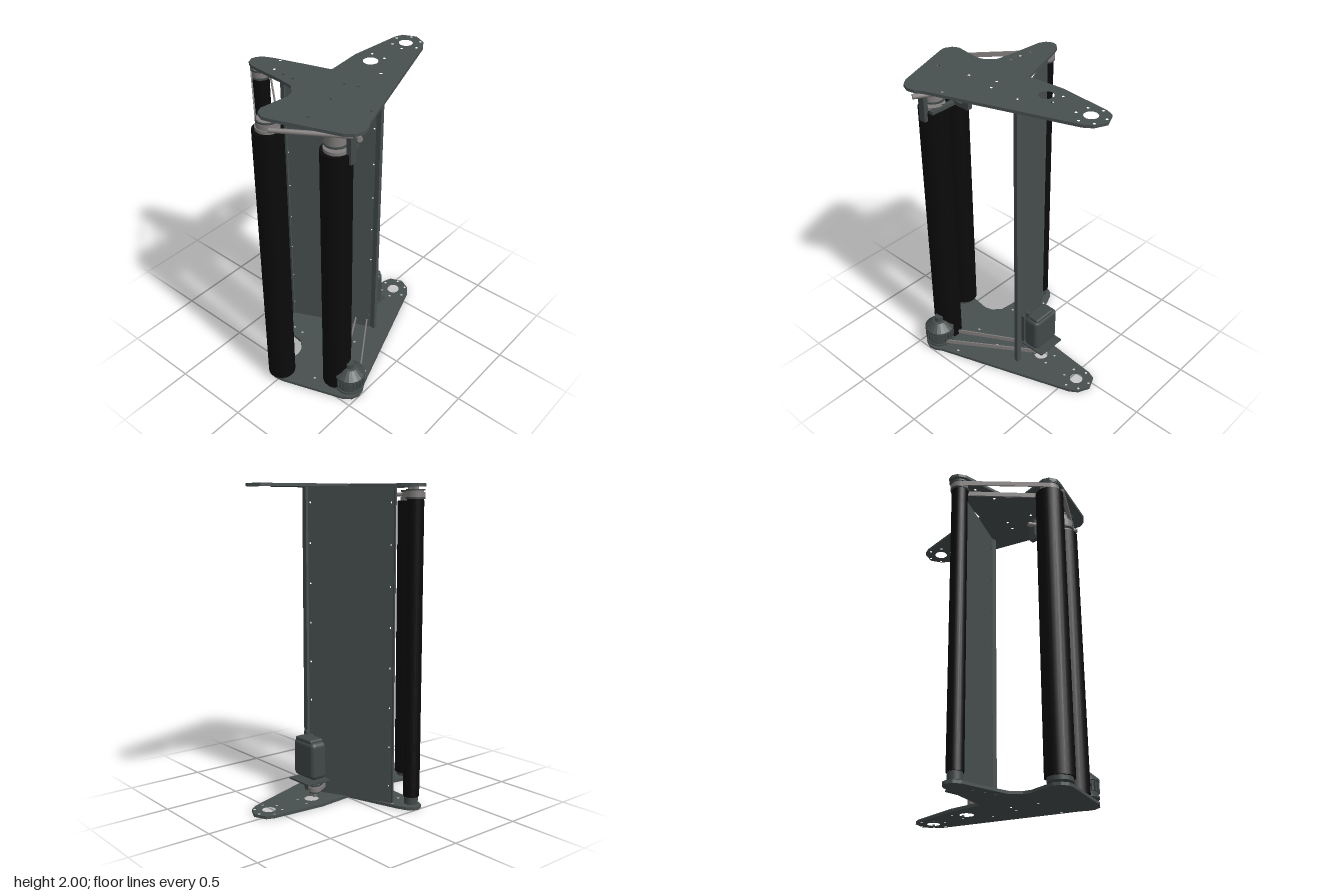
import * as THREE from 'three';
import { RoundedBoxGeometry } from 'three/addons/geometries/RoundedBoxGeometry.js';

export function createModel() {
  const model = new THREE.Group();
  const mat = (name, color) => new THREE.MeshStandardMaterial({ name, color });
  const plateGrey = mat('plateGrey', 0x484f4f);
  const motorGrey = mat('motorGrey', 0x424949);
  const rubber = mat('blackRubber', 0x0b0b0c);
  const steel = mat('paleSteel', 0x827d7d);

  const add = (name, geo, material, x = 0, y = 0, z = 0) => {
    const m = new THREE.Mesh(geo, material);
    m.name = name;
    m.position.set(x, y, z);
    model.add(m);
    return m;
  };
  const box = (name, material, w, h, d, x, y, z) => add(name, new THREE.BoxGeometry(w, h, d), material, x, y, z);
  // upright cylinder between two heights
  const post = (name, material, r, y0, y1, x, z, sides = 20) =>
    add(name, new THREE.CylinderGeometry(r, r, y1 - y0, sides), material, x, (y0 + y1) / 2, z);
  // horizontal rod between two points at one height
  const rod = (name, r, y, x0, z0, x1, z1) => {
    const m = add(name, new THREE.CylinderGeometry(r, r, Math.hypot(x1 - x0, z1 - z0), 10), steel, (x0 + x1) / 2, y, (z0 + z1) / 2);
    m.quaternion.setFromUnitVectors(new THREE.Vector3(0, 1, 0), new THREE.Vector3(x1 - x0, 0, z1 - z0).normalize());
  };
  const extrude = (shape, depth) => new THREE.ExtrudeGeometry(shape, { depth, bevelEnabled: false, curveSegments: 10 });
  const hole = (x, y, r) => new THREE.Path().absarc(x, y, r, 0, Math.PI * 2, true);

  // three-armed end plates, outline in x and z
  const outline = [
    [-0.2, -0.505], [-0.165, -0.495], [-0.135, -0.465], [-0.11, -0.41], [0, -0.062], [0.23, -0.082], [0.57, -0.05],
    [0.62, -0.03], [0.655, 0.05], [0.62, 0.125], [0.57, 0.16], [-0.31, 0.465], [-0.35, 0.49], [-0.4, 0.5],
    [-0.45, 0.48], [-0.485, 0.435], [-0.625, 0.04], [-0.632, 0], [-0.61, -0.045], [-0.57, -0.065],
    [-0.39, -0.04], [-0.34, -0.055], [-0.29, -0.11], [-0.278, -0.2], [-0.262, -0.44], [-0.24, -0.485],
  ];
  const bolts = [
    [-0.11, -0.36], [-0.21, -0.31], [-0.22, -0.23], [-0.225, -0.155], [-0.48, 0.19], [-0.26, 0.155],
    [-0.09, 0.105], [-0.06, 0.18], [0.14, 0.18], [-0.22, 0.4], [0.3, -0.01], [0.3, 0.08], [0.48, 0],
    [0.465, 0.08], [0.56, -0.03], [0.63, 0.03], [0.61, 0.11], [0.53, 0.14],
  ];
  const plate = new THREE.Shape(outline.map(([x, z]) => new THREE.Vector2(x, -z)));
  bolts.forEach(([x, z]) => plate.holes.push(hole(x, -z, 0.008)));
  plate.holes.push(hole(0.543, -0.052, 0.042), hole(0.222, -0.04, 0.045));
  const plateGeo = extrude(plate, 0.018).rotateX(-Math.PI / 2);
  add('bottomPlate', plateGeo, plateGrey, 0, 0.005, 0);
  add('topPlate', plateGeo, plateGrey, 0, 1.982, 0);

  // slanted upright panel with bolt holes along both edges
  const a = new THREE.Vector2(0.135, 0.185), b = new THREE.Vector2(-0.122, -0.345);
  const len = a.distanceTo(b), height = 1.96;
  const sheet = new THREE.Shape([[0, 0], [len, 0], [len, height], [0, height]].map(p => new THREE.Vector2(...p)));
  for (let i = 0; i < 8; i++) {
    for (const s of [0.028, len - 0.02]) sheet.holes.push(hole(s, 0.11 + i * 0.251, 0.007));
  }
  const panel = add('panel', extrude(sheet, 0.008), plateGrey, a.x, 0.022, a.y);
  panel.rotation.y = Math.atan2(-(b.y - a.y), b.x - a.x);
  box('panelFrontFlange', plateGrey, 0.026, 1.96, 0.035, 0.14, 1.002, 0.185);
  box('panelRearFlange', plateGrey, 0.01, 1.96, 0.03, -0.118, 1.002, -0.342);

  // rollers with shafts and end hubs: x, z, radius, bottom, top
  const rollers = [
    ['outerRoller', -0.577, -0.012, 0.087, 0.055, 1.9],
    ['frontRoller', -0.402, 0.315, 0.091, 0.055, 1.82],
    ['rearRoller', -0.2, -0.435, 0.051, 0.08, 1.92],
  ];
  for (const [name, x, z, r, y0, y1] of rollers) {
    post(name, rubber, r, y0, y1, x, z, 24);
    post(name + 'Shaft', steel, 0.02, 0.02, 1.985, x, z, 10);
    post(name + 'LowerHub', motorGrey, r * 0.85, 0.03, y0, x, z);
    post(name + 'UpperHub', steel, r * 0.8, y1, y1 + 0.02, x, z);
  }

  // toothed pulley with raised rims
  const pulley = (name, x, z, r, y0, y1) => {
    post(name, steel, r * 0.88, y0, y1, x, z);
    for (const y of [y0, y1 - 0.01]) post(name + 'Rim', motorGrey, r, y, y + 0.01, x, z);
  };
  pulley('outerPulley', -0.577, -0.012, 0.066, 1.91, 1.965);
  pulley('frontPulley', -0.402, 0.315, 0.07, 1.86, 1.965);
  pulley('rearPulley', -0.2, -0.435, 0.058, 1.91, 1.968);
  pulley('motorPulley', 0.18, 0.06, 0.036, 0.05, 0.105);

  // closed belt around two pulleys
  const beltPath = (path, p, q, r1, r2) => {
    const ang = Math.atan2(q[1] - p[1], q[0] - p[0]);
    const beta = Math.acos((r1 - r2) / Math.hypot(q[0] - p[0], q[1] - p[1]));
    path.absarc(p[0], p[1], r1, ang + beta, ang - beta + Math.PI * 2, false);
    path.absarc(q[0], q[1], r2, ang - beta, ang + beta, false);
    path.closePath();
    return path;
  };
  const belt = (name, x0, z0, r1, x1, z1, r2, y, h) => {
    const p = [x0, -z0], q = [x1, -z1], t = 0.008;
    const shape = beltPath(new THREE.Shape(), p, q, r1 + t, r2 + t);
    shape.holes.push(beltPath(new THREE.Path(), p, q, r1, r2));
    add(name, extrude(shape, h).rotateX(-Math.PI / 2), steel, 0, y, 0);
  };
  belt('driveBelt', -0.387, 0.41, 0.055, 0.18, 0.06, 0.032, 0.06, 0.028);
  belt('upperBelt', -0.577, -0.012, 0.055, -0.2, -0.435, 0.05, 1.92, 0.03);

  // geared hub with conical cap
  const gx = -0.387, gz = 0.41;
  const profile = [[0, 0.03], [0.05, 0.03], [0.05, 0.05], [0.085, 0.05], [0.085, 0.15], [0.098, 0.15], [0.098, 0.165],
    [0.045, 0.212], [0.028, 0.215], [0.028, 0.25], [0, 0.25]].map(p => new THREE.Vector2(...p));
  const hub = new THREE.LatheGeometry(profile, 20).toNonIndexed();
  hub.computeVertexNormals();
  add('gearHub', hub, motorGrey, gx, 0, gz);
  for (let i = 0; i < 24; i++) {
    const t = (i / 24) * Math.PI * 2;
    const tooth = box('gearTooth', motorGrey, 0.016, 0.06, 0.013, gx + 0.088 * Math.cos(t), 0.115, gz + 0.088 * Math.sin(t));
    tooth.rotation.y = -t;
  }
  post('gearLowerRim', motorGrey, 0.095, 0.05, 0.062, gx, gz);

  // motor, its mounting plate and drive shaft
  add('motorBody', new RoundedBoxGeometry(0.115, 0.24, 0.205, 3, 0.03), motorGrey, 0.222, 0.29, 0.052);
  add('motorCap', new RoundedBoxGeometry(0.1, 0.03, 0.16, 2, 0.012), motorGrey, 0.222, 0.41, 0.06);
  box('motorSidePlate', motorGrey, 0.02, 0.22, 0.07, 0.165, 0.31, 0.13);
  box('motorTerminal', motorGrey, 0.03, 0.03, 0.03, 0.185, 0.43, 0.13);
  box('motorMount', motorGrey, 0.17, 0.01, 0.2, 0.232, 0.153, 0.045);
  post('motorNeck', motorGrey, 0.035, 0.15, 0.18, 0.18, 0.06);
  post('motorShaft', steel, 0.013, 0.02, 0.18, 0.18, 0.06, 10);

  // tension rod and hanging brackets below the top plate
  rod('tensionRod', 0.016, 1.937, -0.395, 0.47, -0.22, 0.17);
  rod('crossRod', 0.014, 1.937, -0.63, 0.05, -0.395, 0.42);
  box('frontBracket', motorGrey, 0.045, 0.22, 0.03, -0.385, 1.873, 0.405);
  box('frontBracketFoot', motorGrey, 0.035, 0.02, 0.19, -0.33, 1.83, 0.305);
  box('innerBracket', motorGrey, 0.05, 0.15, 0.03, -0.225, 1.905, 0.215);
  box('innerBracketFoot', motorGrey, 0.12, 0.025, 0.03, -0.265, 1.835, 0.215);

  return model;
}
